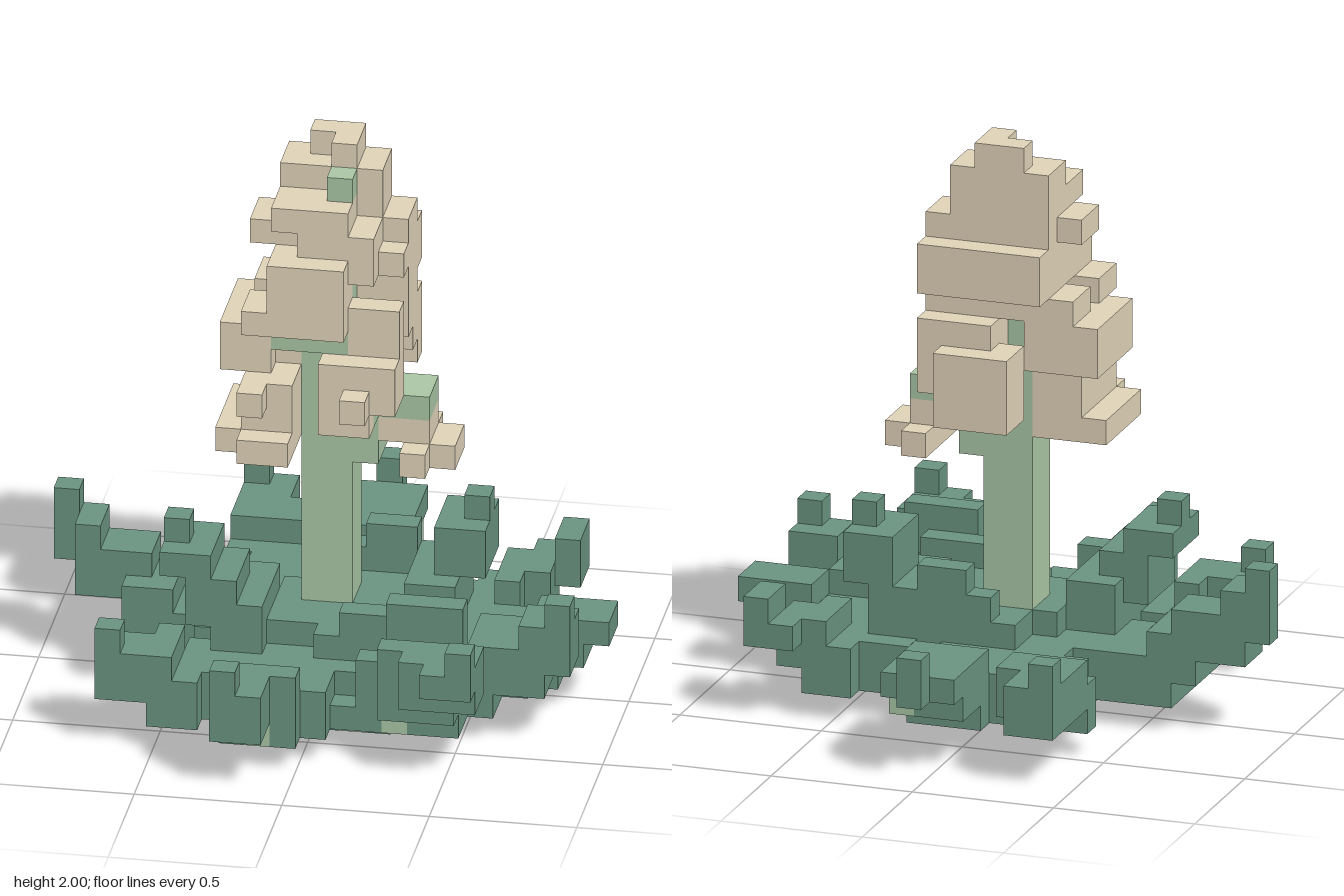
import * as THREE from 'three';

const U = 2 / 23; // edge of one cube
const BASE = [0, 1, 0.5]; // where all leaves start, in cubes

const material = (name, color) => {
  const m = new THREE.MeshStandardMaterial({ color });
  m.name = name;
  return m;
};

// Middle and tip of each leaf, in cubes, and the thickness of its outer half
const LEAVES = {
  leftLeaf: [[-6, 1, 0], [-11, 5, -1], 2],
  frontLeftLeaf: [[-4, 1, 5], [-8, 3, 7], 2],
  frontLeaf: [[-1, 1, 6], [-3, 3, 10], 2],
  frontRightLeaf: [[3.5, 2, 6], [6, 5, 9], 1],
  rightFrontLeaf: [[5, 1, 2.5], [9, 4, 4], 2],
  rightLeaf: [[6, 1, 0.5], [10, 3.4, 0.5], 1],
  backRightLeaf: [[5, 1.5, -2.5], [8, 4, -4.5], 1],
  backLeaf: [[0, 1.3, -5], [0, 4, -10], 1],
  backLeftLeaf: [[-3, 1.5, -4], [-5, 3, -9], 2],
  innerRightLeaf: [[4, 4, -1], [5, 7, -1], 1],
  innerLeftLeaf: [[-4, 4, 3], [-6, 7, 3], 1],
  innerFrontLeaf: [[2, 3, 4], [5, 5, 5], 1],
  innerBackLeaf: [[1, 3, -2], [2, 5, -2], 1],
};

// Skin of a set of cubes: only the faces with no neighbour
function cubeSkin(cells, filled) {
  const pos = [], nor = [];
  for (const c of cells) {
    for (let axis = 0; axis < 3; axis++) {
      for (const sign of [1, -1]) {
        const n = [0, 0, 0];
        n[axis] = sign;
        if (filled.has(c.map((v, i) => v + n[i]).join())) continue;
        const a = (axis + (sign > 0 ? 1 : 2)) % 3, b = 3 - axis - a;
        for (const [s, t] of [[0, 0], [1, 0], [1, 1], [0, 0], [1, 1], [0, 1]]) {
          const p = [c[0], c[1], c[2] - 0.5];
          p[axis] += Math.max(sign, 0);
          p[a] += s;
          p[b] += t;
          pos.push(...p.map((v) => v * U));
          nor.push(...n);
        }
      }
    }
  }
  const g = new THREE.BufferGeometry();
  g.setAttribute('position', new THREE.Float32BufferAttribute(pos, 3));
  g.setAttribute('normal', new THREE.Float32BufferAttribute(nor, 3));
  return g;
}

export function createModel() {
  const group = new THREE.Group();
  group.name = 'floweringPlant';
  const pale = material('paleGreen', 0xadcaa8);
  const cream = material('creamBlossom', 0xe4d7bc);
  const green = material('leafGreen', 0x6c9683);

  // Earlier parts keep their cubes where parts overlap
  const filled = new Set();
  const parts = [];
  let cells;
  const part = (name, mat) => {
    cells = [];
    parts.push({ name, mat, cells });
  };
  const cube = (...c) => {
    if (filled.has(c.join())) return;
    filled.add(c.join());
    cells.push(c);
  };
  // Block of cubes, ends not included
  const block = (x0, x1, y0, y1, z0, z1) => {
    for (let x = x0; x < x1; x++)
      for (let y = y0; y < y1; y++)
        for (let z = z0; z < z1; z++) cube(x, y, z);
  };

  // Stem with its side shoots and a bud under the tip
  part('stem', pale);
  block(-1, 1, 1, 20, 0, 2);
  part('sideShoots', pale);
  block(2, 4, 12, 13, 0, 2);
  block(1, 2, 10, 14, 0, 2);
  cube(1, 13, -1);
  cube(1, 12, 2);
  block(-2, 1, 15, 16, 2, 3);
  cube(0, 21, 1);
  part('paleLeafSpots', pale);
  cube(1, 0, 4);
  cube(4, 0, 1);
  cube(4, 0, 3);
  cube(-2, 1, 8);
  cube(3, 1, 6);
  cube(1, 2, -8);

  // Blossom clusters
  part('blossomTop', cream);
  block(-1, 1, 22, 23, -1, 0);
  cube(0, 22, 0);
  block(-2, 2, 21, 22, -1, 1);
  block(-2, 1, 20, 21, -1, 3);
  block(1, 2, 20, 21, -1, 1);
  block(-2, 2, 18, 20, -1, 2);
  block(-1, 2, 18, 20, 2, 3);
  block(-3, -2, 19, 20, 0, 2);
  block(2, 3, 19, 20, -1, 1);
  block(2, 3, 18, 19, -1, 2);
  block(-2, 3, 17, 19, -2, 1);
  block(-2, 1, 17, 19, 1, 4);
  part('blossomMiddle', cream);
  block(-3, 3, 16, 17, -1, 1);
  block(-3, 1, 16, 17, 2, 4);
  block(1, 3, 15, 17, 2, 3);
  block(1, 3, 13, 15, 2, 4);
  block(-1, 2, 12, 15, -3, -1);
  cube(2, 13, -2);
  block(0, 3, 14, 16, -2, 0);
  block(1, 3, 15, 16, 0, 1);
  block(-4, -1, 14, 16, -1, 2);
  block(-4, -2, 14, 16, 2, 3);
  block(0, 2, 12, 15, 2, 4);
  cube(1, 13, 4);
  part('blossomLower', cream);
  block(-3, -1, 12, 14, 0, 4);
  cube(-3, 13, 4);
  block(-4, -1, 11, 12, 0, 4);
  block(-3, -1, 11, 12, 4, 5);
  block(2, 4, 11, 12, 0, 2);
  block(3, 5, 10, 11, 0, 2);
  block(3, 4, 10, 11, -1, 3);

  // Round foot of the rosette
  part('rosetteFoot', green);
  [3.6, 5.2].forEach((r, y) => {
    for (let x = -6; x < 7; x++)
      for (let z = -6; z < 7; z++)
        if (Math.hypot(x - 0.5, z - 1) < r) cube(x, y, z);
  });

  // Leaves: strips that run out to the middle, then rise and taper to the tip
  for (const [name, [mid, tip, thick]] of Object.entries(LEAVES)) {
    part(name, green);
    const wideAxis = Math.abs(tip[0]) > Math.abs(tip[2]) ? 2 : 0;
    for (let i = 0; i <= 60; i++) {
      const t = i / 30;
      const outer = Math.max(t - 1, 0);
      const p = mid.map((m, k) => (t < 1
        ? BASE[k] + (m - BASE[k]) * t
        : m + (tip[k] - m) * outer));
      const half = [0, 0, 0];
      half[wideAxis] = 1.4 - outer * 1.1;
      const [x0, , z0] = p.map((v, k) => Math.round(v - half[k]));
      const [x1, , z1] = p.map((v, k) => Math.round(v + half[k]));
      const y = Math.floor(p[1] + 0.01);
      block(x0, x1 + 1, y, y + (outer > 0.5 ? thick : 2), z0, z1 + 1);
    }
  }

  for (const { name, mat, cells: own } of parts) {
    const mesh = new THREE.Mesh(cubeSkin(own, filled), mat);
    mesh.name = name;
    group.add(mesh);
  }
  return group;
}
